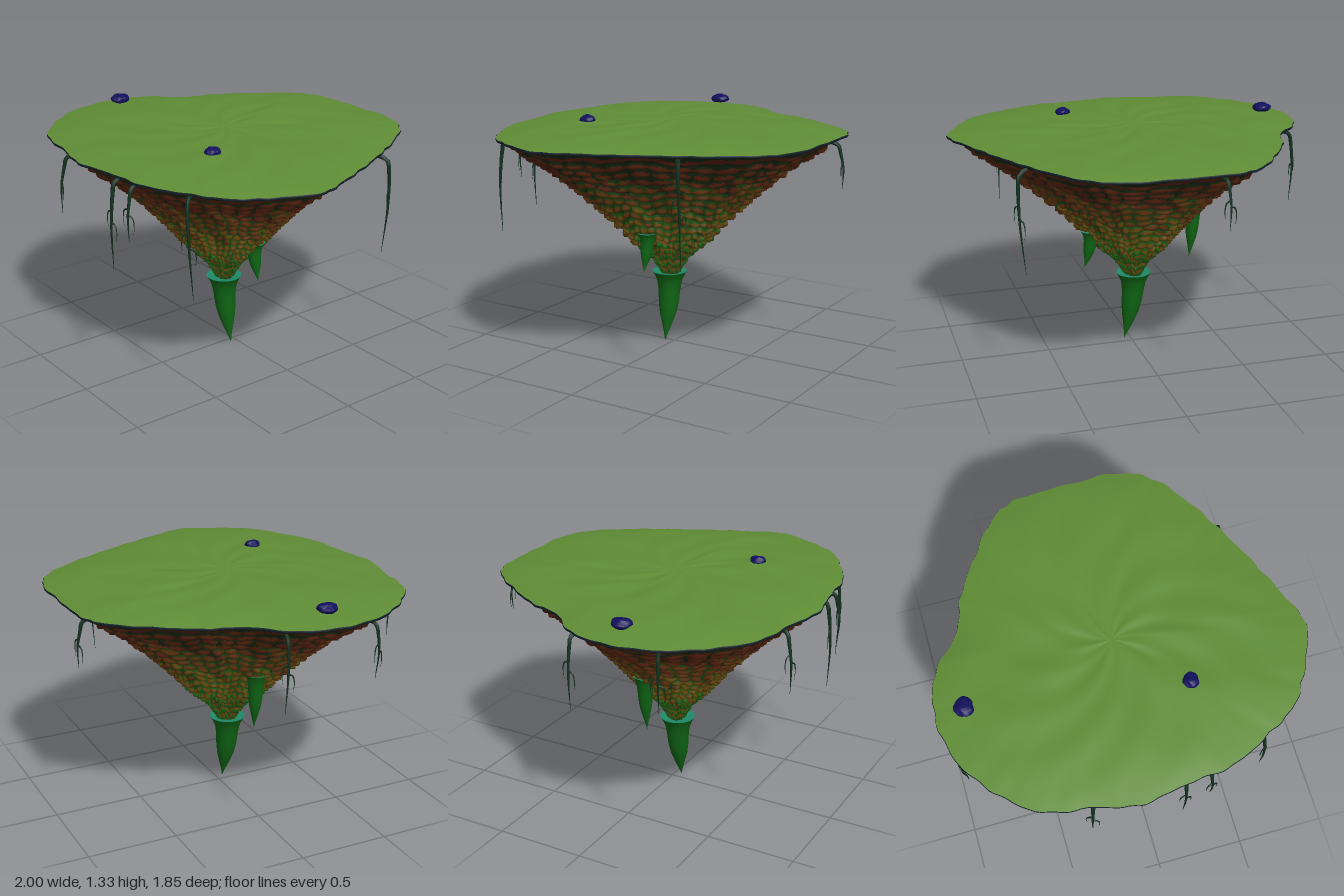
import * as THREE from 'three';

const TAU = Math.PI * 2;
const CX = -0.02, CZ = 0.04; // axis of the hanging cone
const V = (x, y, z) => new THREE.Vector3(x, y, z);
const mat = (color, extra = {}) => new THREE.MeshStandardMaterial({ color, ...extra });

// Plan outline of the island, as x, z pairs
const PLAN = [
  0.99, 0.21, 0.9, 0.45, 0.79, 0.62, 0.62, 0.73, 0.39, 0.84, 0.14, 0.87, -0.12, 0.91, -0.34, 0.86,
  -0.6, 0.81, -0.8, 0.65, -0.95, 0.43, -0.995, 0.16, -0.94, -0.05, -0.78, -0.24, -0.72, -0.42,
  -0.6, -0.62, -0.44, -0.83, -0.32, -0.9, -0.05, -0.92, 0.3, -0.91, 0.46, -0.83, 0.62, -0.62,
  0.735, -0.41, 0.84, -0.19, 0.93, 0.03];
const planPoints = [];
for (let i = 0; i < PLAN.length; i += 2) planPoints.push(V(PLAN[i], 0, PLAN[i + 1]));
const plan = new THREE.CatmullRomCurve3(planPoints, true);

// Point on the outline shrunk by s towards the axis, at height y
function ringPoint(u, s, y) {
  const p = plan.getPoint(u % 1);
  const w = s * (1 + 0.004 * Math.sin(u * TAU * 31) + 0.003 * Math.sin(u * TAU * 47 + 1));
  return V(CX + (p.x - CX) * w, y, CZ + (p.z - CZ) * w);
}

// Closed loops of points joined into a smooth skin
function skin(nu, nv, fn) {
  const pos = [], idx = [];
  for (let j = 0; j <= nv; j++)
    for (let i = 0; i < nu; i++) pos.push(...fn(i / nu, j / nv).toArray());
  for (let j = 0; j < nv; j++)
    for (let i = 0; i < nu; i++) {
      const k = (i + 1) % nu, a = j * nu, b = a + nu;
      idx.push(a + i, a + k, b + i, a + k, b + k, b + i);
    }
  const g = new THREE.BufferGeometry();
  g.setAttribute('position', new THREE.Float32BufferAttribute(pos, 3));
  g.setIndex(idx);
  g.computeVertexNormals();
  return g;
}

// Straight interpolation through [key, value] pairs with falling keys
function profile(pairs, k) {
  for (let i = 1; i < pairs.length; i++) {
    const [k0, v0] = pairs[i - 1], [k1, v1] = pairs[i];
    if (k >= k1) return v0 + (v1 - v0) * (k0 - k) / (k0 - k1);
  }
  return pairs[pairs.length - 1][1];
}

const CONE = [[1.235, 0.985], [1.2, 0.91], [1.05, 0.68], [0.9, 0.5], [0.75, 0.34],
  [0.6, 0.2], [0.5, 0.1], [0.4, 0.045]];
const ROWS = 17, COLS = 46;

// Bark scales: how far a point of the cone stands out, 0 to 1
function scaleAt(u, v) {
  const wob = 0.22 * Math.sin(u * TAU * 9 + v * 8) + 0.16 * Math.sin(u * TAU * 17 - v * 13);
  const q = v * ROWS + wob, row = Math.floor(q), f = q - row;
  const col = Math.abs(Math.sin(Math.PI * (u * COLS + row * 0.5 + 0.25 * Math.sin(row * 2.3))));
  const ramp = f < 0.75 ? f / 0.75 : (1 - f) / 0.25;
  return ramp * (0.35 + 0.65 * Math.sqrt(col));
}

function addBark(group) {
  const nu = 276, nv = 119;
  const g = skin(nu, nv, (u, v) => {
    const y = 1.235 - 0.835 * v, s = profile(CONE, y);
    const lift = scaleAt(u, v) * Math.min(0.042, s * 0.2) * Math.min(1, v * 12);
    return ringPoint(u, s + lift, y - lift * 0.3);
  });
  // Sort the faces by height and by raised or sunken into colours
  const tones = [
    ['barkTopHollows', 0x17260f], ['barkTopScales', 0x54220f],
    ['barkUpperHollows', 0x1c3d10], ['barkUpperScales', 0x5c3210],
    ['barkLowerHollows', 0x1d5212], ['barkLowerScales', 0x64480f],
    ['barkTipHollows', 0x6e4a14], ['barkTipScales', 0x1f6414]];
  const faces = tones.map(() => []);
  for (let q = 0; q < nu * nv; q++) {
    const u = ((q % nu) + 0.5) / nu, v = (Math.floor(q / nu) + 0.5) / nv;
    const level = THREE.MathUtils.clamp(Math.floor(v * 4 + 0.35 * Math.sin(u * TAU * 13 + v * 30)), 0, 3);
    const raised = scaleAt(u, v) > 0.42 ? 1 : 0;
    for (let k = 0; k < 6; k++) faces[level * 2 + raised].push(g.index.getX(q * 6 + k));
  }
  tones.forEach(([name, color], i) => {
    const part = g.clone();
    part.setIndex(faces[i]);
    add(group, name, part.toNonIndexed(), mat(color));
  });
}

function add(group, name, geometry, material) {
  const m = new THREE.Mesh(geometry, material);
  m.name = name;
  group.add(m);
  return m;
}

// Height of the grass, gently domed and rippled
function grassY(u, s) {
  const a = u * TAU;
  return 1.245 + 0.05 * (1 - s ** 4) +
    0.006 * s * (1 - s) * 4 * (Math.sin(a * 7 + s * 5) * 0.6 + Math.sin(a * 12 - s * 14) * 0.5);
}

// Hanging thorn: flared mouth at the top, point at the bottom
function thorn(name, top, tip, r, colors) {
  const g = new THREE.Group();
  g.name = name;
  const h = top.y - tip.y;
  const outer = [[0, 0], [0.12, 0.13], [0.25, 0.3], [0.4, 0.48], [0.55, 0.58], [0.72, 0.63],
    [0.86, 0.72], [0.94, 0.86], [1, 1]];
  const bend = (pairs) => {
    const geo = new THREE.LatheGeometry(pairs.map(([t, w]) => new THREE.Vector2(w * r, t * h)), 24);
    const p = geo.attributes.position;
    for (let i = 0; i < p.count; i++) {
      const k = (p.getY(i) / h - 1) ** 2;
      p.setX(i, p.getX(i) + (tip.x - top.x) * k);
      p.setZ(i, p.getZ(i) + (tip.z - top.z) * k);
    }
    geo.computeVertexNormals();
    return geo;
  };
  add(g, 'thornSkin', bend(outer), mat(colors[0], { side: THREE.DoubleSide }));
  add(g, 'thornMouth', bend([[1, 1], [0.985, 0.7], [0.96, 0]]), mat(colors[1], { side: THREE.DoubleSide }));
  g.position.set(top.x, tip.y, top.z);
  return g;
}

// Tapered strand along a few points
function strand(points, r, material) {
  const n = 20, sides = 6, curve = new THREE.CatmullRomCurve3(points);
  const g = new THREE.TubeGeometry(curve, n, r, sides, false);
  const p = g.attributes.position, v = V(0, 0, 0);
  for (let i = 0; i <= n; i++) {
    const c = curve.getPointAt(i / n);
    for (let k = 0; k <= sides; k++) {
      const id = i * (sides + 1) + k;
      v.fromBufferAttribute(p, id).sub(c).multiplyScalar(1 - 0.93 * i / n).add(c);
      p.setXYZ(id, v.x, v.y, v.z);
    }
  }
  g.computeVertexNormals();
  const m = new THREE.Mesh(g, material);
  m.name = 'strand';
  return m;
}

// Root creeping out from under the rim and hanging down, with two side shoots
function root(x, z, tipX, tipY, tipZ, material) {
  const g = new THREE.Group();
  g.name = 'hangingRoot';
  const at = (t) => V(x + (tipX - x) * t, 1.16 + (tipY - 1.16) * t, z + (tipZ - z) * t);
  const out = V(x, 0, z).normalize();
  const pts = [V(x * 0.93, 1.215, z * 0.93), V(x * 0.985, 1.195, z * 0.985), at(0.05), at(0.45), at(1)];
  pts[3].addScaledVector(out, 0.012);
  g.add(strand(pts, 0.013, material));
  [[0.25, 1], [0.4, -1]].forEach(([t, side]) => {
    const a = at(t).addScaledVector(out, 0.008);
    const shoot = (k, dy) => V(a.x - out.z * side * k, a.y + dy, a.z + out.x * side * k);
    g.add(strand([a, shoot(0.025, -0.01), shoot(0.035, -0.05), shoot(0.03, -0.1)], 0.005, material));
  });
  return g;
}

export function createModel() {
  const model = new THREE.Group();
  model.name = 'floatingIsland';

  // Grass top, dark lip and scaly underside
  add(model, 'grassTop', skin(200, 24, (u, v) => ringPoint(u, v, grassY(u, v))), mat(0x5f8c35));
  const lip = [[1, 1.245], [1.003, 1.238], [0.998, 1.231], [0.975, 1.229]];
  add(model, 'rimLip', skin(200, 3, (u, v) => ringPoint(u, ...lip[Math.round(v * 3)])), mat(0x14232c));
  addBark(model);

  // Three thorns
  const green = [0x0f6414, 0x1f8a6a];
  model.add(thorn('mainThorn', V(-0.02, 0.41, 0.045), V(0.04, 0, 0.04), 0.1, green));
  model.add(thorn('rightThorn', V(-0.375, 0.8, 0.04), V(-0.355, 0.47, 0.04), 0.065, green));
  model.add(thorn('leftThorn', V(0.235, 0.69, 0.03), V(0.275, 0.47, 0.03), 0.06, green));

  // Hanging roots: start x, z and tip x, y, z
  const bark = mat(0x12301f);
  [[0.6, 0.74, 0.63, 0.68, 0.73], [0.74, -0.48, 0.71, 0.66, -0.48], [-0.35, 0.86, -0.36, 0.88, 0.88],
    [0.14, 0.87, 0.14, 0.72, 0.88], [0.28, 0.86, 0.28, 0.92, 0.87], [-0.92, -0.07, -0.915, 0.8, -0.08],
    [-0.93, 0.44, -0.92, 0.9, 0.44], [-0.24, -0.9, -0.24, 0.95, -0.915]]
    .forEach((r) => model.add(root(...r, bark)));

  // Two lumpy stones on the grass
  [[-0.84, 1.297, 0.19, 0.052], [0.31, 1.302, 0.37, 0.042]].forEach(([x, y, z, r]) => {
    const g = new THREE.IcosahedronGeometry(1, 3);
    const p = g.attributes.position;
    for (let i = 0; i < p.count; i++) {
      const a = p.getX(i), b = p.getY(i), c = p.getZ(i);
      const k = 1 + 0.07 * Math.sin(a * 5 + b * 3) + 0.06 * Math.sin(c * 6 - a * 2);
      p.setXYZ(i, a * k, b * k, c * k);
    }
    g.computeVertexNormals();
    const s = add(model, 'stone', g, mat(0x12105c));
    s.scale.set(r, 0.026, r * 1.05);
    s.position.set(x, y, z);
  });
  return model;
}
